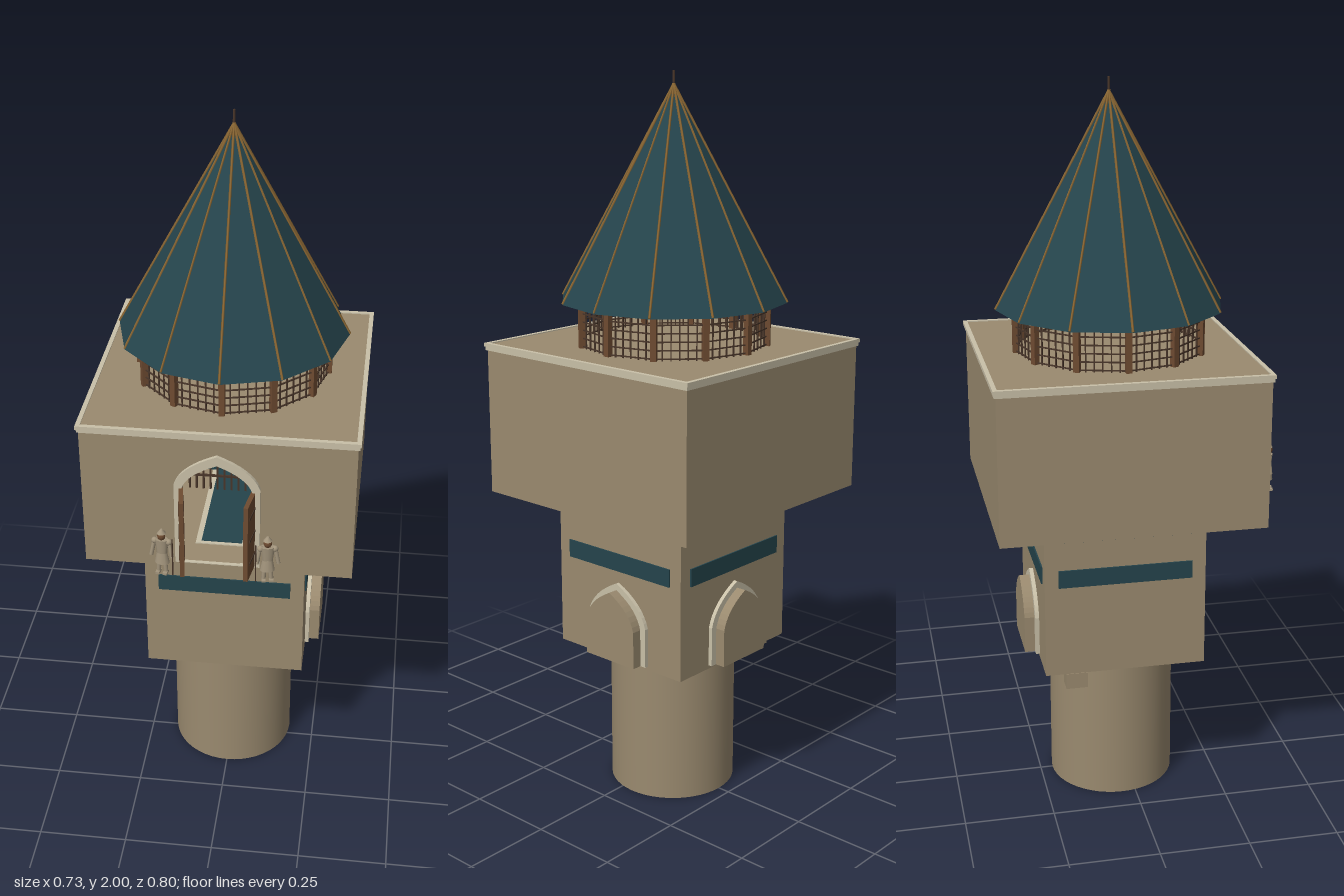
import * as THREE from 'three';
import { mergeGeometries } from 'three/addons/utils/BufferGeometryUtils.js';

const CZ = -0.038; // tower axis in z

const material = (name, color, extra = {}) => {
  const m = new THREE.MeshStandardMaterial({ color, ...extra });
  m.name = name;
  return m;
};

const box = (w, h, d, x = 0, y = 0, z = 0) => new THREE.BoxGeometry(w, h, d).translate(x, y, z);

// square rod between two points
function rod(a, b, r, sides = 4) {
  const dir = b.clone().sub(a);
  const g = new THREE.CylinderGeometry(r, r, dir.length(), sides);
  g.applyQuaternion(new THREE.Quaternion().setFromUnitVectors(new THREE.Vector3(0, 1, 0), dir.normalize()));
  const mid = a.clone().add(b).multiplyScalar(0.5);
  return g.translate(mid.x, mid.y, mid.z);
}

// pointed arch outline
function traceArch(path, hw, base, spring, apex) {
  const cy = spring + (apex - spring) * 0.6;
  path.moveTo(-hw, base);
  path.lineTo(hw, base);
  path.lineTo(hw, spring);
  path.quadraticCurveTo(hw * 0.85, cy, 0, apex);
  path.quadraticCurveTo(-hw * 0.85, cy, -hw, spring);
  path.closePath();
  return path;
}

const extrude = (shape, depth) =>
  new THREE.ExtrudeGeometry(shape, { depth, bevelEnabled: false, curveSegments: 8 });

export function createModel() {
  const stone = material('sandstone', 0x9a8a6f);
  const trim = material('pale stone', 0xc9c0a8);
  const teal = material('teal', 0x25444c, { flatShading: true });
  const wood = material('wood', 0x6e4b31);
  const dark = material('dark wood', 0x49362a);
  const gold = material('bronze', 0x8f6a35);
  const cloth = material('guard cloth', 0xa2947c);

  const model = new THREE.Group();
  model.name = 'tower';
  const add = (name, geo, mat, parent = model) => {
    const m = new THREE.Mesh(geo, mat);
    m.name = name;
    parent.add(m);
    return m;
  };

  // round base and square middle storey
  add('roundBase', new THREE.CylinderGeometry(0.177, 0.177, 0.42, 48).translate(0, 0.21, CZ), stone);
  add('middleStorey', box(0.446, 0.445, 0.446, 0, 0.6425, CZ), stone);
  add('cornerBracket', box(0.045, 0.045, 0.06, -0.2025, 0.3975, -0.175), stone);
  add('crossBeam', box(0.51, 0.014, 0.014, 0, 0.843, CZ), wood);

  // painted bands on all four sides, arched bays on the left and back sides
  for (let i = 0; i < 4; i++) {
    const side = new THREE.Group();
    side.name = 'middleSide' + i;
    side.position.z = CZ;
    side.rotation.y = i * Math.PI / 2;
    model.add(side);
    add('upperBand', box(0.4, 0.055, 0.006, 0, 0.8375, 0.224), teal, side);
    add('lowerBand', box(0.37, 0.05, 0.006, 0, 0.705, 0.224), teal, side);
    if (i === 1 || i === 2) {
      const frame = traceArch(new THREE.Shape(), 0.106, 0.43, 0.54, 0.647);
      frame.holes.push(traceArch(new THREE.Path(), 0.088, 0.431, 0.535, 0.628));
      add('bayFrame', extrude(frame, 0.012).translate(0, 0, 0.222), trim, side);
      const bay = traceArch(new THREE.Shape(), 0.088, 0.43, 0.535, 0.628);
      add('bay', extrude(bay, 0.04).translate(0, 0, 0.222), stone, side);
    }
  }

  // hollow upper storey with an arched doorway
  const H = 0.356, y0 = 0.865, y1 = 1.27, yc = (y0 + y1) / 2, t = 0.02;
  const wall = new THREE.Shape([[-H, y0], [H, y0], [H, y1], [-H, y1]].map(p => new THREE.Vector2(...p)));
  wall.holes.push(traceArch(new THREE.Path(), 0.092, 0.887, 1.12, 1.195));
  add('frontWall', extrude(wall, t).translate(0, 0, CZ + H - t), stone);
  add('backWall', box(2 * H, y1 - y0, t, 0, yc, CZ - H + t / 2), stone);
  for (const s of [-1, 1]) add('sideWall', box(t, y1 - y0, 2 * H - 2 * t, s * (H - t / 2), yc, CZ), stone);
  add('floor', box(2 * H - 2 * t, 0.022, 2 * H - 2 * t, 0, y0 + 0.011, CZ), stone);
  add('runnerBorder', box(0.14, 0.003, 0.56, 0, 0.8885, CZ), trim);
  add('runner', box(0.11, 0.003, 0.54, 0, 0.8905, CZ), teal);

  // roof deck and pale rim
  add('deck', box(2 * H - 0.004, 0.02, 2 * H - 0.004, 0, 1.272, CZ), stone);
  const rim = [];
  for (const [o, y] of [[0.36, 1.27], [0.363, 1.28]]) {
    for (const s of [-1, 1]) {
      rim.push(box(2 * o, 0.01, 0.012, 0, y, CZ + s * (o - 0.006)));
      rim.push(box(0.012, 0.01, 2 * o - 0.024, s * (o - 0.006), y, CZ));
    }
  }
  add('rim', mergeGeometries(rim), trim);

  // door surround, hanging grille and open leaves
  const surround = traceArch(new THREE.Shape(), 0.112, 0.885, 1.13, 1.222);
  surround.holes.push(traceArch(new THREE.Path(), 0.092, 0.887, 1.12, 1.195));
  add('doorSurround', extrude(surround, 0.012).translate(0, 0, CZ + H - 0.002), trim);
  add('archPanel', box(0.05, 0.022, 0.006, 0, 1.182, 0.303), teal);
  const grille = [box(0.17, 0.005, 0.005, 0, 1.155, 0.31)];
  for (let i = -4; i <= 4; i++) {
    const top = 1.19 - Math.abs(i) * 0.011;
    grille.push(box(0.005, top - 1.115, 0.005, i * 0.018, (top + 1.115) / 2, 0.31));
  }
  add('grille', mergeGeometries(grille), dark);

  for (const s of [-1, 1]) {
    const leaf = new THREE.Group();
    leaf.name = s > 0 ? 'leftDoor' : 'rightDoor';
    leaf.position.set(s * 0.094, 1.005, 0.322);
    leaf.rotation.y = -s * 0.15;
    model.add(leaf);
    add('doorLeaf', box(0.012, 0.23, 0.076, 0, 0, 0.039), wood, leaf);
    for (const y of [-0.07, 0, 0.07]) add('doorStrap', box(0.015, 0.007, 0.06, 0, y, 0.032), dark, leaf);

    // guard beside the door
    const guard = new THREE.Group();
    guard.name = s > 0 ? 'leftGuard' : 'rightGuard';
    guard.position.set(s * 0.138, 0.888, 0.379);
    guard.rotation.y = s * 0.15;
    model.add(guard);
    const ball = (r, x, y, z, sy = 1) => new THREE.SphereGeometry(r, 10, 8).scale(1, sy, 0.9).translate(x, y, z);
    add('head', ball(0.011, 0, 0.117, 0.002, 1.2), wood, guard);
    add('helmet', new THREE.CylinderGeometry(0.003, 0.012, 0.012, 10).translate(0, 0.13, 0), cloth, guard);
    const body = [
      new THREE.CylinderGeometry(0.019, 0.014, 0.045, 10).scale(1, 1, 0.65).translate(0, 0.083, 0),
      new THREE.CylinderGeometry(0.014, 0.02, 0.032, 10).scale(1, 1, 0.7).translate(0, 0.048, 0)
    ];
    const legs = [];
    for (const k of [-1, 1]) {
      body.push(ball(0.009, k * 0.019, 0.099, 0));
      body.push(rod(new THREE.Vector3(k * 0.02, 0.099, 0), new THREE.Vector3(k * 0.028, 0.055, 0.004), 0.0055, 8));
      legs.push(rod(new THREE.Vector3(k * 0.008, 0.04, 0), new THREE.Vector3(k * 0.01, 0.004, 0), 0.006, 8));
      legs.push(box(0.011, 0.006, 0.02, k * 0.01, 0.003, 0.004));
    }
    add('tunic', mergeGeometries(body), cloth, guard);
    add('legs', mergeGeometries(legs), cloth, guard);
    add('spear', rod(new THREE.Vector3(-s * 0.031, 0, 0.008), new THREE.Vector3(-s * 0.031, 0.115, 0.008), 0.0018, 6), dark, guard);
  }

  // lantern storey: twelve posts with open lattice between them
  const lantern = new THREE.Group();
  lantern.name = 'lantern';
  lantern.position.z = CZ;
  model.add(lantern);
  const N = 12, R = 0.257, apothem = R * Math.cos(Math.PI / N), w = 2 * R * Math.sin(Math.PI / N);
  const posts = [], bars = [], ribs = [];
  for (let i = 0; i < N; i++) {
    const a = i * 2 * Math.PI / N;
    posts.push(box(0.016, 0.125, 0.016, 0, 1.3385, R).rotateY(a));
    const mid = a + Math.PI / N;
    for (let j = 1; j < 6; j++)
      bars.push(box(0.0035, 0.12, 0.0035, (j / 6 - 0.5) * w, 1.34, apothem).rotateY(mid));
    for (let j = 0; j < 6; j++)
      bars.push(box(w, 0.0035, 0.0035, 0, 1.287 + j * 0.022, apothem).rotateY(mid));
    // roof ribs along each edge
    ribs.push(rod(new THREE.Vector3(0, 1.402, 0.309), new THREE.Vector3(0, 1.962, 0.002), 0.0035).rotateY(a));
  }
  add('posts', mergeGeometries(posts), wood, lantern);
  add('lattice', mergeGeometries(bars), dark, lantern);

  // twelve-sided roof and finial
  add('roof', new THREE.ConeGeometry(0.309, 0.56, N).translate(0, 1.68, 0), teal, lantern);
  add('roofRibs', mergeGeometries(ribs), gold, lantern);
  add('finialBase', new THREE.CylinderGeometry(0.004, 0.01, 0.025, 10).translate(0, 1.955, 0), gold, lantern);
  add('finial', new THREE.CylinderGeometry(0.003, 0.004, 0.05, 8).translate(0, 1.975, 0), dark, lantern);

  return model;
}
